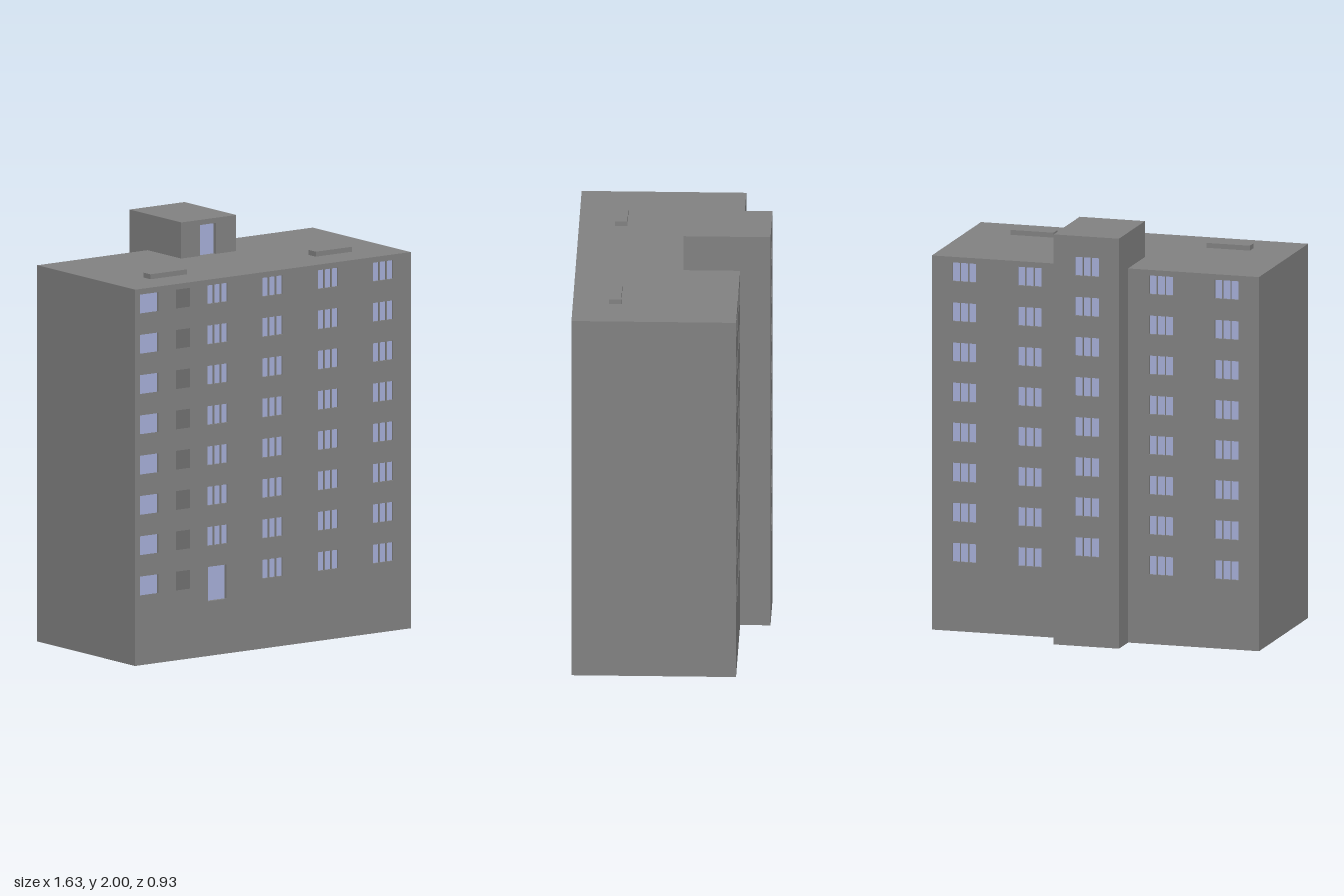
import * as THREE from 'three';
import { mergeGeometries } from 'three/addons/utils/BufferGeometryUtils.js';

const W = 0.817, ROOF = 1.825, TOP = 2;           // half width, roof height, tower top
const FRONT = 0.465, BACK = -0.32;                // main block in z
const TW = 0.163, TFRONT = -0.05, TBACK = -0.465; // tower
const S = 0.002;                                  // thickness of plain walls and roofs
const ROWS = 8, STEP = 0.1954, SILL = 0.339, WIN_H = 0.091;
const WINDOW_DEPTH = 0.01, DOOR_DEPTH = 0.018, LOGGIA_DEPTH = 0.11;

const grey = new THREE.MeshStandardMaterial({ color: 0x828282, side: THREE.DoubleSide });
const blue = new THREE.MeshStandardMaterial({ color: 0xa6afd8, side: THREE.DoubleSide });

function mesh(name, geometry, material = grey) {
  const m = new THREE.Mesh(geometry, material);
  m.name = name;
  return m;
}

// Box geometry given by its limits
function box(x0, x1, y0, y1, z0, z1) {
  const g = new THREE.BoxGeometry(x1 - x0, y1 - y0, z1 - z0);
  return g.translate((x0 + x1) / 2, (y0 + y1) / 2, (z0 + z1) / 2);
}

const slab = (name, ...limits) => mesh(name, box(...limits));

// The four sides of a box that is open towards front and back
function reveal(x0, x1, y0, y1, z0, z1) {
  const g = box(x0, x1, y0, y1, z0, z1);
  g.setIndex(Array.from(g.index.array).slice(0, 24));
  g.clearGroups();
  return g;
}

function outline(Type, x0, x1, y0, y1) {
  const p = new Type();
  p.moveTo(x0, y0);
  p.lineTo(x1, y0);
  p.lineTo(x1, y1);
  p.lineTo(x0, y1);
  p.closePath();
  return p;
}

// Thin wall facing dir in z; panes [x0, x1, y0, y1, depth] are set back, openings stay empty
function wall(name, x0, x1, y0, y1, z, dir, panes, openings = []) {
  const shape = outline(THREE.Shape, x0, x1, y0, y1);
  for (const [a, b, c, d] of [...panes, ...openings]) {
    shape.holes.push(outline(THREE.Path, a, b, c, d));
  }
  const panel = new THREE.ShapeGeometry(shape);
  if (dir < 0) panel.rotateY(Math.PI).scale(-1, 1, 1);
  panel.translate(0, 0, z);
  const reveals = [], glass = [];
  for (const [a, b, c, d, depth] of panes) {
    const inner = z - dir * depth;
    reveals.push(reveal(a, b, c, d, Math.min(z, inner), Math.max(z, inner)));
    const pane = new THREE.PlaneGeometry(b - a, d - c);
    if (dir < 0) pane.rotateY(Math.PI);
    glass.push(pane.translate((a + b) / 2, (c + d) / 2, inner));
  }
  const group = new THREE.Group();
  group.name = name;
  group.add(
    mesh(name + 'Panel', panel),
    mesh(name + 'Reveals', mergeGeometries(reveals)),
    mesh(name + 'Glass', mergeGeometries(glass), blue),
  );
  return group;
}

// Column of three-pane windows
function windowColumn(x, first = 0, lift = 0) {
  const panes = [], width = 0.037, pitch = 0.041;
  for (let r = first; r < ROWS; r++) {
    const y = SILL + lift + r * STEP;
    for (let i = -1; i <= 1; i++) {
      const c = x + i * pitch;
      panes.push([c - width / 2, c + width / 2, y, y + WIN_H, WINDOW_DEPTH]);
    }
  }
  return panes;
}

export function createModel() {
  const model = new THREE.Group();
  model.name = 'apartmentBlock';

  // Loggias: floor, ceiling and cheeks, closed by a back wall with a glass door
  const LX0 = -0.81, LX1 = -0.493, LZ = FRONT - LOGGIA_DEPTH;
  const openings = [];
  for (let r = 0; r < ROWS; r++) {
    const sill = SILL + r * STEP, top = sill + WIN_H;
    const floor = r === 0 ? 0 : sill - 0.07;
    openings.push([LX0, LX1, sill, top]);
    const loggia = new THREE.Group();
    loggia.name = 'loggia';
    loggia.add(
      mesh('loggiaLining', reveal(LX0, LX1, floor, top, LZ, FRONT)),
      wall('loggiaBackWall', LX0, LX1, floor, top, LZ, 1,
        [[-0.707, -0.598, floor + 0.002, top - 0.001, WINDOW_DEPTH]]),
    );
    model.add(loggia);
  }

  // Front wall: windows, one tall window and the loggia openings
  model.add(wall('frontWall', -W, W, 0, ROOF, FRONT, 1, [
    ...windowColumn(-0.3285, 1), ...windowColumn(-0.0025),
    ...windowColumn(0.3265), ...windowColumn(0.6525),
    [-0.385, -0.274, 0.265, 0.432, DOOR_DEPTH],
  ], openings));

  // Back walls, plain side walls, roof and vents on both sides
  for (const s of [-1, 1]) {
    const span = (a, b) => (s > 0 ? [a, b] : [-b, -a]);
    model.add(
      wall('backWall', ...span(TW, W), 0, ROOF, BACK, -1,
        [...windowColumn(s * 0.328), ...windowColumn(s * 0.655)]),
      slab('sideWall', ...span(W - S, W), 0, ROOF, BACK, FRONT),
      slab('rearRoof', ...span(TW, W - S), ROOF - S, ROOF, BACK, TFRONT),
      slab('roofVent', ...span(0.382, 0.598), ROOF, 1.849, 0.234, 0.292),
      slab('towerSideLower', ...span(TW - S, TW), 0, ROOF, TBACK, BACK),
      slab('towerSideUpper', ...span(TW - S, TW), ROOF - S, TOP, TBACK, TFRONT),
    );
  }
  model.add(slab('frontRoof', -W + S, W - S, ROOF - S, ROOF, TFRONT, FRONT));

  // Stair tower: windows at half landings, door onto the roof
  model.add(
    wall('towerBackWall', -TW, TW, 0, TOP, TBACK, -1, windowColumn(-0.0025, 0, 0.1)),
    wall('towerFrontWall', -TW, TW, ROOF - S, TOP, TFRONT, 1,
      [[-0.051, 0.043, ROOF, 1.975, DOOR_DEPTH]]),
    slab('towerRoof', -TW + S, TW - S, TOP - S, TOP, TBACK, TFRONT),
  );
  return model;
}
